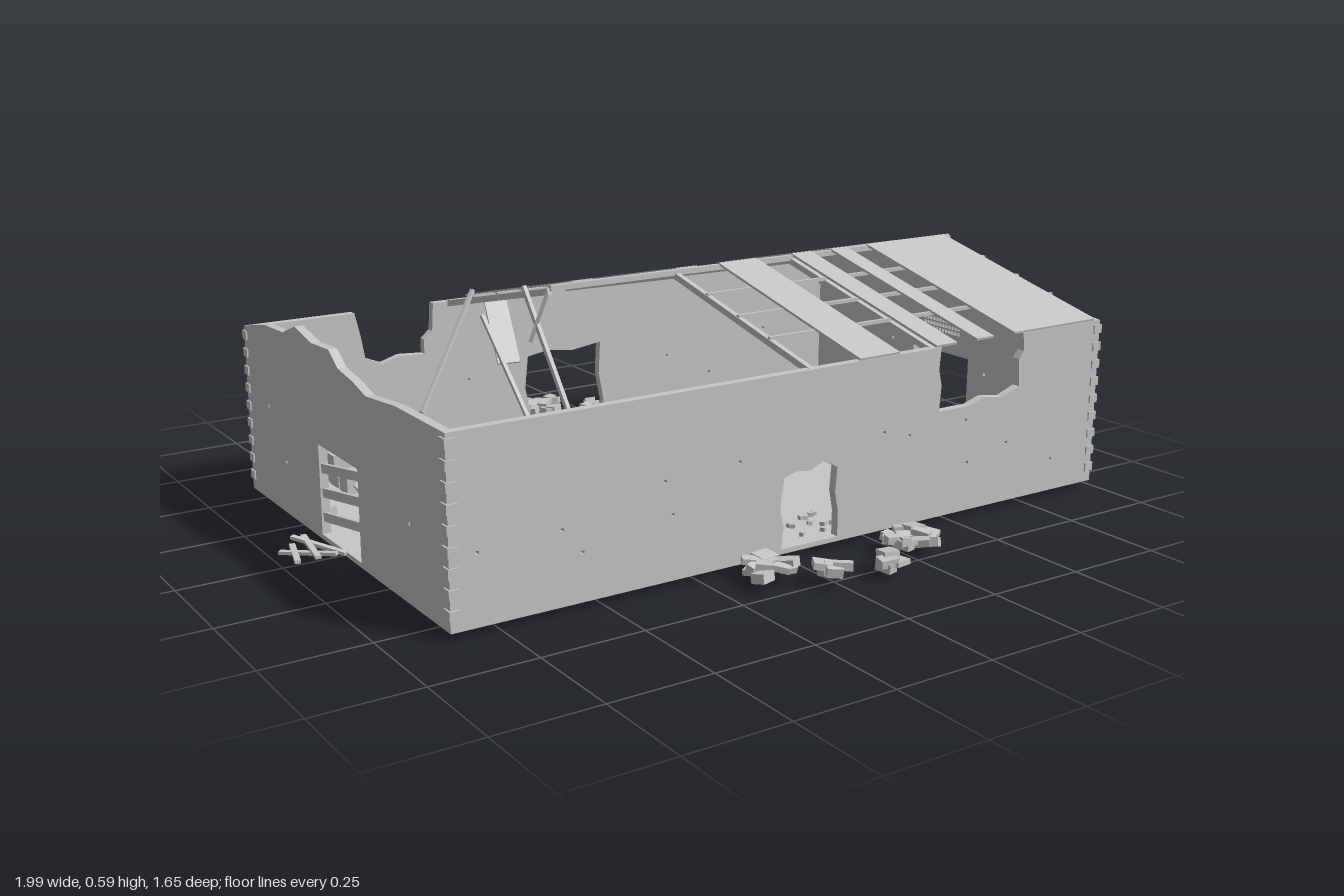
import * as THREE from 'three';

export function createModel() {
  const root = new THREE.Group();
  const concrete = new THREE.MeshStandardMaterial({ color: 0xc6c6c6 });
  concrete.name = 'grey concrete';
  let seed = 7;
  const rnd = (a = 0, b = 1) => {
    seed = (seed * 16807) % 2147483647;
    return a + (b - a) * seed / 2147483647;
  };
  const group = (name, parent = root) => {
    const g = new THREE.Group();
    g.name = name;
    parent.add(g);
    return g;
  };
  const add = (parent, name, geo, x = 0, y = 0, z = 0) => {
    const m = new THREE.Mesh(geo, concrete);
    m.name = name;
    m.position.set(x, y, z);
    parent.add(m);
    return m;
  };
  const box = (parent, name, w, h, d, x, y, z, turn = 0) => {
    const m = add(parent, name, new THREE.BoxGeometry(w, h, d), x, y, z);
    m.rotation.y = turn;
    return m;
  };
  // Straight bar or sheet from a to b
  const bar = (parent, name, a, b, w = 0.012, h = 0.012) => {
    const p = new THREE.Vector3(...a), q = new THREE.Vector3(...b);
    const m = add(parent, name, new THREE.BoxGeometry(w, h, p.distanceTo(q)));
    m.position.copy(p).lerp(q, 0.5);
    m.lookAt(q);
    return m;
  };
  // Upright slab cut from an outline
  const wall = (name, pts, holes = [], depth = 0.022) => {
    const s = new THREE.Shape(pts.map(p => new THREE.Vector2(...p)));
    for (const [x, y, r] of holes) {
      s.holes.push(new THREE.Path([[-r, -r], [-r, r], [r, r], [r, -r]].map(([u, v]) => new THREE.Vector2(x + u, y + v))));
    }
    return add(root, name, new THREE.ExtrudeGeometry(s, { depth, bevelEnabled: false }));
  };
  const L = -0.865, R = 0.99, F = 0.582, B = -0.548, E = 0.445, G = 0.02;

  // Bullet holes along a wall, kept clear of its openings
  const shots = list => list.map(([x, y]) => [x, y, 0.004]);

  // Long walls with doorways and broken top edges
  wall('frontWall', [
    [L, G], [-0.02, G], [-0.015, 0.08], [-0.025, 0.13], [-0.015, 0.2], [0.02, 0.21], [0.06, 0.205], [0.1, 0.222],
    [0.14, 0.2], [0.135, 0.14], [0.145, 0.09], [0.145, G], [R, G], [R, E], [0.72, E], [0.725, 0.4], [0.71, 0.38],
    [0.715, 0.31], [0.66, 0.29], [0.6, 0.3], [0.55, 0.285], [0.45, 0.285], [0.455, 0.35], [0.445, 0.39], [0.45, E], [L, E],
  ], shots([[-0.8, 0.18], [-0.6, 0.19], [-0.55, 0.13], [-0.34, 0.25], [-0.32, 0.17], [-0.14, 0.26], [0.28, 0.26],
    [0.36, 0.24], [0.55, 0.14], [0.54, 0.25], [0.68, 0.17], [0.84, 0.1]])).position.z = F - 0.022;
  wall('backWall', [
    [L, G], [-0.07, G], [-0.06, 0.1], [-0.075, 0.17], [-0.065, 0.26], [0, 0.27], [0.08, 0.26], [0.17, 0.272],
    [0.165, 0.18], [0.18, 0.1], [0.175, G], [R, G], [R, E], [-0.35, E], [-0.355, 0.37], [-0.38, 0.35], [-0.38, 0.31],
    [-0.45, 0.315], [-0.5, 0.3], [-0.55, 0.32], [-0.56, 0.38], [-0.575, E], [L, E],
  ], shots([[-0.7, 0.2], [-0.4, 0.15], [-0.25, 0.22], [0.4, 0.2], [0.55, 0.13], [0.75, 0.24]])).position.z = B;

  // End walls, drawn in z and y
  const vent = [];
  for (let i = 0; i < 12; i++) for (let j = 0; j < 3; j++) vent.push([-0.045 + i * 0.0125, 0.312 + j * 0.014, 0.0045]);
  const door = [[-0.09, G], [-0.09, 0.25], [0.135, 0.25], [0.135, G]];
  const end = (name, x, top, holes) => {
    const m = wall(name, [[B, G], ...door, [F, G], [F, E], ...top, [B, E]], holes);
    m.rotation.y = -Math.PI / 2;
    m.position.x = x;
  };
  end('rightGable', R, [[0.4, 0.465], [0.2, 0.48], [0.16, 0.502], [0.12, 0.51], [0.06, 0.55], [0.02, 0.557],
    [-0.05, 0.562], [-0.13, 0.54]], [...vent, ...shots([[0.4, 0.18], [0.37, 0.12], [0.2, 0.22], [-0.18, 0.25],
    [-0.17, 0.18], [-0.37, 0.22], [-0.43, 0.27], [-0.46, 0.07]])]);
  end('leftGable', L + 0.022, [[0.35, 0.446], [0.2, 0.432], [0.13, 0.45], [0.05, 0.462], [0, 0.495], [-0.1, 0.49],
    [-0.2, 0.51], [-0.28, 0.48], [-0.4, 0.475]], shots([[0.4, 0.2], [-0.3, 0.15], [-0.4, 0.27]]));

  // Corner blocks
  const quoins = group('cornerBlocks');
  for (const x of [L, R]) for (const z of [B, F]) for (let i = 0; i < 9; i++) {
    box(quoins, 'cornerBlock', 0.026, 0.022, 0.026, x - Math.sign(x) * 0.009, 0.055 + i * 0.046, z - Math.sign(z) * 0.009);
  }

  // Floor, raised strip and sunken steps
  box(root, 'floor', R - L, 0.012, F - B, (L + R) / 2, 0.022, (F + B) / 2);
  box(root, 'floorStrip', 0.73, 0.006, 0.27, -0.305, 0.03, 0.275);
  const steps = group('steps');
  for (let i = 0; i < 5; i++) box(steps, 'step', 0.024, 0.008, 0.105, -0.787 + i * 0.027, 0.03 - i * 0.0015, 0.215);
  box(steps, 'stepBase', 0.03, 0.02, 0.105, -0.8, 0.01, 0.22);

  // Roof frame: ridge, purlins and rafters
  const RZ = 0.017, RY = 0.575;
  const roofY = z => RY - (RY - E) * (z < RZ ? (RZ - z) / (RZ - B) : (z - RZ) / (F - RZ));
  const frame = group('roofFrame');
  bar(frame, 'ridge', [-0.3, RY, RZ], [0.985, RY, RZ], 0.014, 0.014);
  for (const z of [-0.39, -0.255, -0.12]) bar(frame, 'backPurlin', [-0.3, roofY(z), z], [0.985, roofY(z), z], 0.008, 0.009);
  for (const z of [0.16, 0.29, 0.415]) bar(frame, 'frontPurlin', [0.06, roofY(z), z], [0.985, roofY(z), z], 0.009, 0.009);
  for (const x of [-0.3, 0.065, 0.43, 0.97]) {
    bar(frame, 'backRafter', [x, RY - 0.008, RZ], [x, E - 0.008, B + 0.01], 0.014, 0.016);
    if (x > 0) bar(frame, 'frontRafter', [x, RY - 0.008, RZ], [x, E - 0.008, F - 0.01], 0.014, 0.016);
  }
  // Broken members hanging from the frame
  bar(frame, 'brokenPurlin', [-0.3, 0.5, -0.39], [-0.5, 0.22, -0.3], 0.01, 0.01);
  bar(frame, 'brokenRafter', [-0.33, 0.57, -0.06], [-0.29, 0.17, 0.17], 0.011, 0.011);
  bar(frame, 'brokenStrut', [-0.32, 0.45, -0.3], [-0.33, 0.1, 0.1], 0.01, 0.01);
  bar(frame, 'brokenBrace', [-0.3, 0.57, 0.01], [-0.335, 0.44, -0.02], 0.009, 0.009);
  bar(frame, 'hangingSheet', [-0.255, 0.48, -0.355], [-0.275, 0.33, -0.245], 0.06, 0.006);

  // Remaining roof sheets
  const sheets = group('roofSheets');
  for (const [a, b] of [[-0.24, -0.18], [0.065, 0.13], [0.62, 0.985]]) {
    bar(sheets, 'backRoofSheet', [(a + b) / 2, RY + 0.008, RZ], [(a + b) / 2, E + 0.005, B - 0.004], b - a, 0.006);
  }
  for (const [a, b] of [[0.195, 0.315], [0.43, 0.495], [0.56, 0.615], [0.685, 0.965]]) {
    bar(sheets, 'frontRoofSheet', [(a + b) / 2, RY + 0.008, RZ], [(a + b) / 2, E + 0.005, F + 0.004], b - a, 0.006);
  }

  // Open cart in the middle of the hall
  const cart = group('cart');
  box(cart, 'cartBed', 0.42, 0.01, 0.155, -0.245, 0.085, 0.015);
  for (const s of [-1, 1]) {
    box(cart, 'cartSide', 0.42, 0.07, 0.008, -0.245, 0.122, 0.015 + s * 0.074);
    box(cart, 'cartEnd', 0.008, 0.07, 0.155, -0.245 + s * 0.206, 0.122, 0.015);
    box(cart, 'cartRail', 0.38, 0.012, 0.012, -0.245, 0.07, 0.015 + s * 0.05);
    for (const x of [-0.4, -0.09]) {
      const wheel = add(cart, 'cartWheel', new THREE.CylinderGeometry(0.02, 0.02, 0.01, 12), x, 0.048, 0.015 + s * 0.05);
      wheel.rotation.x = Math.PI / 2;
    }
  }
  box(cart, 'cartLoad', 0.14, 0.04, 0.06, -0.19, 0.11, 0.01);
  box(cart, 'cartStep', 0.1, 0.008, 0.05, -0.235, 0.06, 0.115);

  // Stacked crates, pallets and a cabinet
  const goods = group('storedGoods');
  for (const [x, z, n, w] of [[-0.67, -0.49, 2, 0.055], [-0.67, -0.41, 1, 0.06], [-0.52, -0.495, 2, 0.045],
    [-0.56, 0.315, 2, 0.06], [-0.325, 0.315, 2, 0.045], [0.41, 0.3, 2, 0.06]]) {
    for (let i = 0; i < 4; i++) {
      const h = 0.03 + (i % 3) * 0.012 * n;
      box(goods, 'crate', w, h, w * 0.85, x + (i % 2) * w * 1.1, 0.028 + h / 2, z + (i >> 1) * w, rnd(-0.06, 0.06));
    }
  }
  box(goods, 'looseCrate', 0.06, 0.05, 0.06, -0.48, 0.055, 0.385, 0.3);
  box(goods, 'cabinet', 0.115, 0.06, 0.06, 0.38, 0.058, -0.43);
  box(goods, 'cabinetTop', 0.09, 0.012, 0.05, 0.38, 0.094, -0.43);
  box(goods, 'smallCrate', 0.035, 0.03, 0.03, -0.81, 0.043, -0.19, 0.3);

  // Rubble heaps: [x, z, spread, pieces]
  const rubble = group('rubble');
  const heaps = [[-0.12, -0.69, 0.04, 12], [0.08, -0.78, 0.03, 6], [0.16, -0.79, 0.02, 4], [0.08, -0.69, 0.035, 7],
    [0.21, -0.67, 0.035, 10], [0.27, -0.61, 0.035, 10], [-0.12, 0.66, 0.045, 12], [0, 0.765, 0.025, 6],
    [0.13, 0.785, 0.015, 4], [0.26, 0.7, 0.05, 16]];
  for (const [x, z, s, n] of heaps) for (let i = 0; i < n; i++) {
    const m = box(rubble, 'rubblePiece', rnd(0.02, 0.055), rnd(0.012, 0.024), rnd(0.02, 0.05),
      x + rnd(-s, s), 0.028 + 0.024 * i / n, z + rnd(-s, s));
    m.rotation.set(rnd(-0.25, 0.25), rnd(0, 3), rnd(-0.25, 0.25));
  }
  // Fallen slabs and small debris indoors
  for (let i = 0; i < 12; i++) {
    const m = box(rubble, 'fallenSlab', 0.07, 0.01, 0.06, -0.57 + rnd(-0.1, 0.1), 0.04 + i * 0.004, -0.27 + rnd(-0.1, 0.1));
    m.rotation.set(rnd(-0.3, 0.3), rnd(0, 3), rnd(-0.3, 0.3));
  }
  for (let i = 0; i < 40; i++) {
    const front = i % 2;
    box(rubble, 'debris', 0.01, 0.012, 0.012, rnd(-0.05, 0.32), 0.032, front ? rnd(0.43, 0.54) : rnd(-0.5, -0.36), rnd(0, 3));
  }

  // Broken boards outside the left door
  const boards = group('brokenBoards');
  bar(boards, 'board', [-0.99, 0.035, 0.07], [-0.955, 0.03, -0.055], 0.014, 0.008);
  bar(boards, 'board', [-0.945, 0.04, 0.08], [-0.925, 0.045, -0.06], 0.014, 0.008);
  bar(boards, 'board', [-0.995, 0.028, -0.03], [-0.9, 0.04, 0.08], 0.014, 0.008);
  bar(boards, 'board', [-0.955, 0.05, -0.055], [-0.87, 0.028, 0.06], 0.014, 0.008);
  for (const y of [0.07, 0.13, 0.19]) bar(boards, 'doorBoard', [-0.855, y, -0.09], [-0.855, y + 0.04, 0.135], 0.01, 0.022);
  return root;
}
